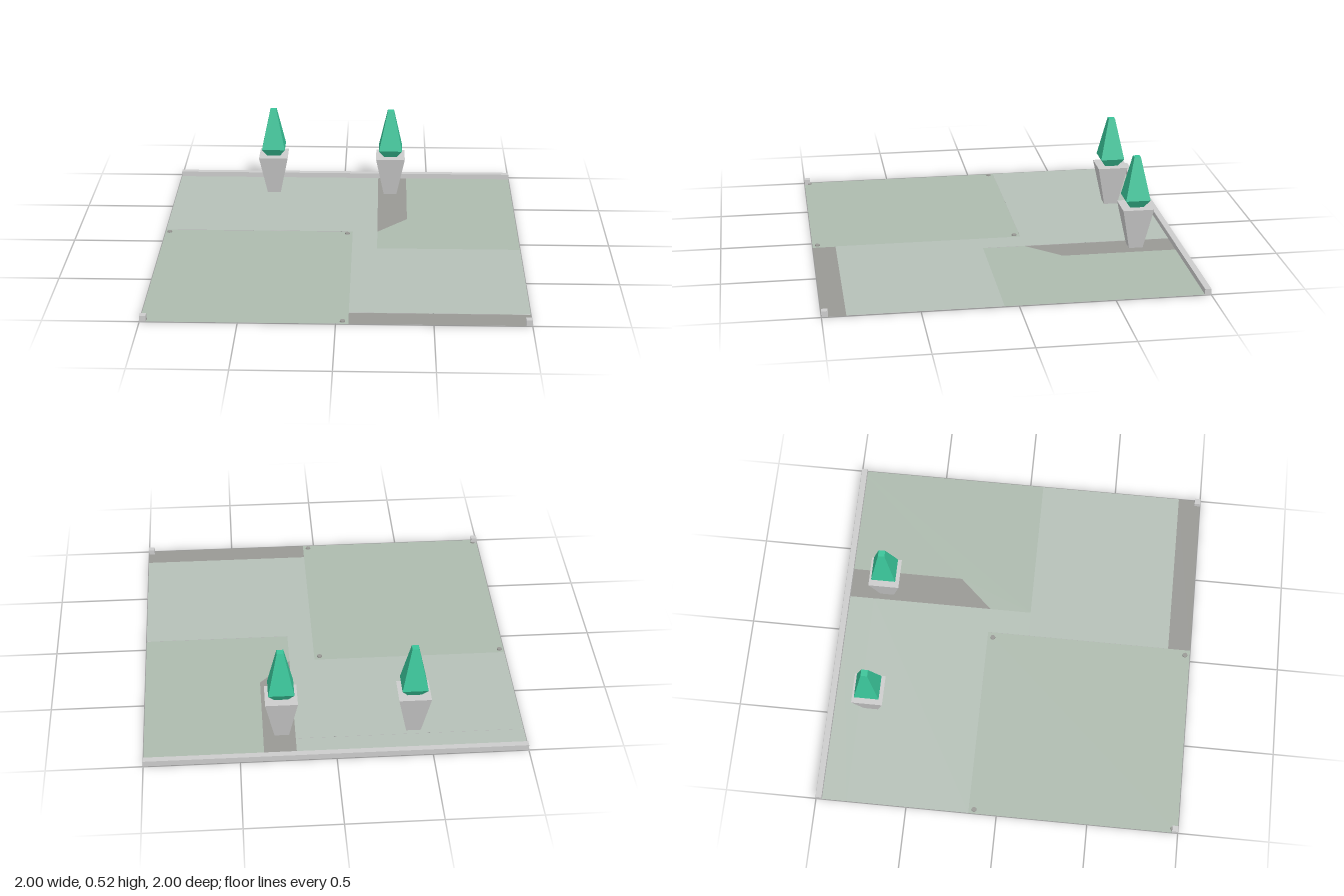
import * as THREE from 'three';

const mat = (color) => new THREE.MeshStandardMaterial({ color, flatShading: true, side: THREE.DoubleSide });
const grey = mat(0xcccccc);
const lightPaving = mat(0xb5c0b7);
const greenPaving = mat(0xadbaae);
const darkPaving = mat(0x989894);
const foliage = mat(0x39c398);

export function createModel() {
  const root = new THREE.Group();

  const add = (parent, name, geometry, material, x = 0, y = 0, z = 0) => {
    const mesh = new THREE.Mesh(geometry, material);
    mesh.name = name;
    mesh.position.set(x, y, z);
    parent.add(mesh);
    return mesh;
  };

  // Flat ground panel from [x, z] corners
  const panel = (name, material, y, corners) => {
    const shape = new THREE.Shape(corners.map(([x, z]) => new THREE.Vector2(x, -z)));
    add(root, name, new THREE.ShapeGeometry(shape).rotateX(-Math.PI / 2), material, 0, y, 0);
  };
  const rect = (x0, x1, z0, z1) => [[x0, z0], [x1, z0], [x1, z1], [x0, z1]];

  // Ground: paved areas that meet edge to edge
  panel('backBorderPaving', lightPaving, 0.003, rect(-1, 0.205, -1, -0.83));
  panel('backLeftPaving', lightPaving, 0.004, rect(-1, 0.205, -0.83, -0.155));
  panel('frontLeftPaving', greenPaving, 0.002, rect(-1, 0.065, -0.155, 1));
  panel('linkPaving', lightPaving, 0.004, rect(0.065, 0.205, -0.155, 0.075));
  panel('frontRightPaving', lightPaving, 0.004, rect(0.065, 1, 0.075, 0.875));
  panel('frontStrip', darkPaving, 0.002, rect(0.065, 1, 0.875, 1));
  panel('backRightPaving', greenPaving, 0.003,
    [[0.375, -1], [1, -1], [1, 0.075], [0.205, 0.075], [0.205, -0.155], [0.375, -0.34]]);
  panel('path', darkPaving, 0.002, [[0.205, -1], [0.375, -1], [0.375, -0.34], [0.205, -0.155]]);

  // Kerb along the back and posts on the front corners
  add(root, 'backKerb', new THREE.BoxGeometry(2, 0.031, 0.033), grey, 0, 0.0175, -0.9835);
  for (const side of [-1, 1]) {
    add(root, 'cornerPost', new THREE.BoxGeometry(0.033, 0.031, 0.033), grey, side * 0.9835, 0.0175, 0.9835);
  }

  // Small round studs set into the ground
  const studGeometry = new THREE.CylinderGeometry(0.013, 0.014, 0.007, 12);
  for (const [x, z] of [[-0.977, -0.125], [0.035, -0.125], [0.035, 0.973], [-0.977, 0.973]]) {
    add(root, 'groundStud', studGeometry, darkPaving, x, 0.0055, z);
  }

  // Square tapered block given by half-widths
  const taper = (top, bottom, height) =>
    new THREE.CylinderGeometry(top * Math.SQRT2, bottom * Math.SQRT2, height, 4)
      .rotateY(Math.PI / 4).translate(0, height / 2, 0);

  // Planters with clipped trees
  for (const [x, z] of [[-0.418, -0.764], [0.277, -0.758]]) {
    const planter = new THREE.Group();
    planter.name = 'planter';
    planter.position.set(x, 0, z);
    add(planter, 'pot', taper(0.085, 0.038, 0.238), grey);
    add(planter, 'treeBase', taper(0.068, 0.037, 0.047), foliage, 0, 0.238, 0);
    add(planter, 'treeTop', taper(0.018, 0.068, 0.235), foliage, 0, 0.285, 0);
    root.add(planter);
  }

  return root;
}
